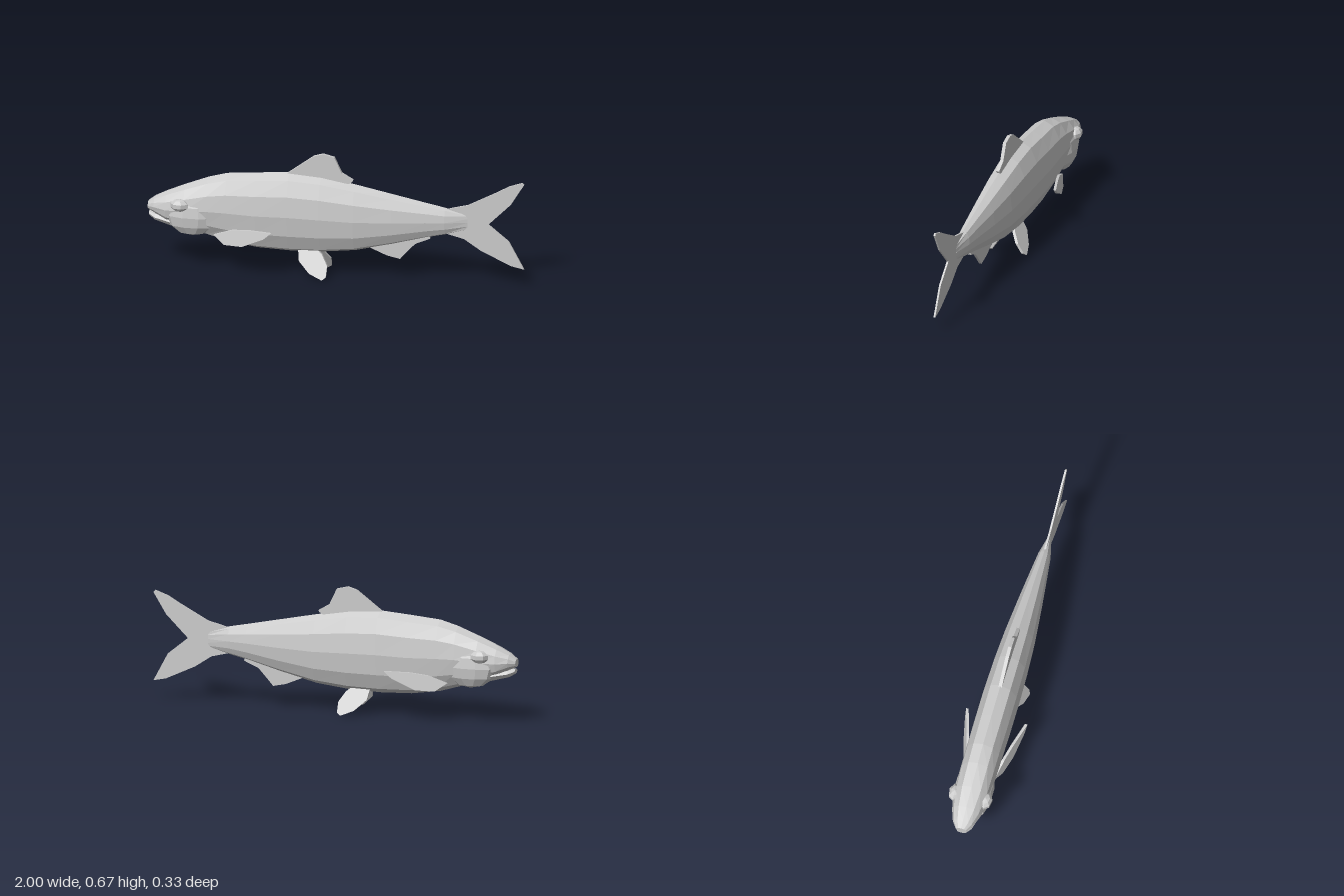
import * as THREE from 'three';

const skin = new THREE.MeshStandardMaterial({ color: 0xcccccc, flatShading: true });
skin.name = 'pale grey';

// Closed loft along x. Each station is [x, bottom, top, halfWidth].
function loft(stations, sides) {
  const pos = [], index = [];
  for (const [x, lo, hi, w] of stations) {
    for (let j = 0; j < sides; j++) {
      const a = (j / sides) * Math.PI * 2, s = Math.sin(a);
      pos.push(x, (lo + hi) / 2 + Math.cos(a) * (hi - lo) / 2, w * Math.sign(s) * Math.abs(s) ** 0.9);
    }
  }
  const last = stations.length - 1;
  for (let i = 0; i < last; i++) {
    for (let j = 0; j < sides; j++) {
      const k = (j + 1) % sides, a = i * sides, b = a + sides;
      index.push(a + j, a + k, b + j, a + k, b + k, b + j);
    }
  }
  for (let j = 1; j < sides - 1; j++) {
    index.push(0, j + 1, j, last * sides, last * sides + j, last * sides + j + 1);
  }
  const g = new THREE.BufferGeometry();
  g.setAttribute('position', new THREE.Float32BufferAttribute(pos, 3));
  g.setIndex(index);
  g.computeVertexNormals();
  return g;
}

// Thin slab cut to an outline, with an optional rule that slants it in z.
function fin(outline, thickness, offset = () => 0) {
  const shape = new THREE.Shape(outline.map(([x, y]) => new THREE.Vector2(x, y)));
  const g = new THREE.ExtrudeGeometry(shape, { depth: thickness, bevelEnabled: false });
  g.translate(0, 0, -thickness / 2);
  const p = g.attributes.position;
  for (let i = 0; i < p.count; i++) p.setZ(i, p.getZ(i) + offset(p.getX(i), p.getY(i)));
  g.computeVertexNormals();
  return g;
}

export function createModel() {
  const fish = new THREE.Group();
  fish.name = 'fish';
  const add = (name, geometry) => {
    const mesh = new THREE.Mesh(geometry, skin);
    mesh.name = name;
    fish.add(mesh);
    return mesh;
  };

  // Body, from the snout to the narrow tail root
  add('body', loft([
    [-1, 0.307, 0.35, 0.03], [-0.965, 0.29, 0.377, 0.055], [-0.9, 0.245, 0.412, 0.078],
    [-0.8, 0.212, 0.457, 0.094], [-0.68, 0.18, 0.505, 0.097], [-0.58, 0.15, 0.533, 0.098],
    [-0.42, 0.126, 0.547, 0.1], [-0.25, 0.12, 0.56, 0.1], [-0.08, 0.125, 0.548, 0.096],
    [0.1, 0.146, 0.516, 0.086], [0.3, 0.195, 0.475, 0.067], [0.48, 0.245, 0.438, 0.047],
    [0.58, 0.268, 0.418, 0.035], [0.7, 0.3, 0.385, 0.006],
  ], 12));

  // Lower jaw, leaving a narrow mouth slit
  add('lowerJaw', loft([
    [-0.995, 0.272, 0.298, 0.024], [-0.96, 0.25, 0.295, 0.047],
    [-0.88, 0.228, 0.29, 0.066], [-0.76, 0.198, 0.28, 0.07],
  ], 8));

  // Unpaired fins
  add('dorsalFin', fin([[-0.26, 0.555], [-0.16, 0.63], [-0.12, 0.66], [-0.07, 0.675],
    [-0.01, 0.66], [0.03, 0.575], [0.09, 0.54], [0.085, 0.53], [0.04, 0.5], [-0.2, 0.53]], 0.018));
  add('analFin', fin([[0.18, 0.168], [0.27, 0.13], [0.34, 0.115], [0.37, 0.15],
    [0.42, 0.205], [0.5, 0.24], [0.495, 0.265], [0.4, 0.27], [0.2, 0.21]], 0.014));
  add('tailFin', fin([[0.56, 0.4], [0.62, 0.42], [0.7, 0.44], [0.85, 0.52], [0.92, 0.56],
    [0.99, 0.585], [1, 0.575], [0.93, 0.46], [0.81, 0.34], [0.92, 0.25], [1, 0.1],
    [0.93, 0.115], [0.77, 0.19], [0.68, 0.25], [0.58, 0.275]], 0.01));

  // Paired fins, gill covers and eyes
  for (const s of [1, -1]) {
    const side = s > 0 ? 'Front' : 'Back';
    add('pectoralFin' + side, fin([[-0.64, 0.21], [-0.54, 0.25], [-0.45, 0.265], [-0.32, 0.272],
      [-0.36, 0.235], [-0.48, 0.175], [-0.58, 0.168]], 0.014,
    (x, y) => s * (0.088 + (x + 0.6) * 0.31 - (y - 0.2) * 0.2)));
    add('pelvicFin' + side, fin([[-0.2, 0.14], [-0.19, 0.085], [-0.13, 0.03], [-0.06, 0.003],
      [-0.04, 0.018], [-0.038, 0.07], [-0.07, 0.12], [-0.1, 0.145]], 0.016,
    (x, y) => s * (0.1 - y * 0.6)));

    const cheek = add('gillCover' + side, new THREE.SphereGeometry(1, 10, 6));
    cheek.scale.set(0.14, 0.11, 0.055);
    cheek.position.set(-0.76, 0.3, s * 0.05);

    const eye = add('eye' + side, new THREE.SphereGeometry(1, 7, 5));
    eye.scale.set(0.05, 0.035, 0.035);
    eye.position.set(-0.82, 0.365, s * 0.084);
  }
  return fish;
}
